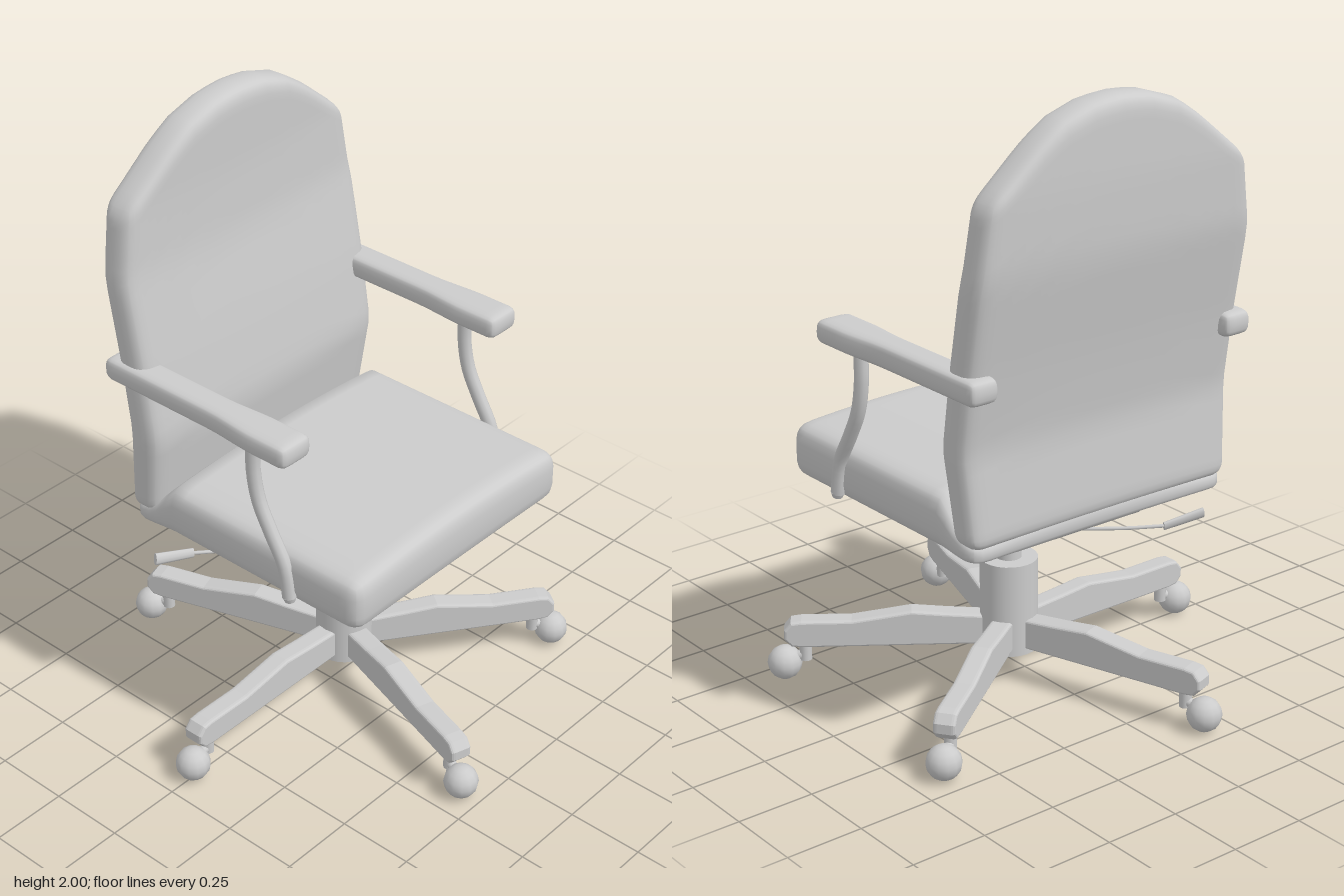
import * as THREE from 'three';
import { mergeVertices } from 'three/addons/utils/BufferGeometryUtils.js';

const grey = new THREE.MeshStandardMaterial({ color: 0xcccccc });
const V = (x, y, z) => new THREE.Vector3(x, y, z);

function add(parent, name, geometry, x = 0, y = 0, z = 0) {
  const mesh = new THREE.Mesh(geometry, grey);
  mesh.name = name;
  mesh.position.set(x, y, z);
  parent.add(mesh);
  return mesh;
}

// Linear lookup in a list of [key, value] pairs with rising keys
function look(table, k) {
  if (k <= table[0][0]) return table[0][1];
  for (let i = 1; i < table.length; i++) {
    const [k0, v0] = table[i - 1], [k1, v1] = table[i];
    if (k <= k1) return v0 + (v1 - v0) * (k - k0) / (k1 - k0);
  }
  return table[table.length - 1][1];
}

// Smooth rounded block, denser at its edges, reshaped by a rule
function cushion(size, r, segs, rule) {
  const geo = new THREE.BoxGeometry(2, 2, 2, ...segs);
  geo.deleteAttribute('uv');
  geo.deleteAttribute('normal');
  const pos = geo.attributes.position;
  const half = V(...size).multiplyScalar(0.5);
  const core = half.clone().subScalar(r);
  for (let i = 0; i < pos.count; i++) {
    const p = V().fromBufferAttribute(pos, i);
    for (const a of ['x', 'y', 'z']) p[a] = Math.sin(p[a] * Math.PI / 2) * half[a];
    const inner = p.clone().clamp(core.clone().negate(), core);
    p.sub(inner).setLength(r).add(inner);
    rule(p);
    pos.setXYZ(i, p.x, p.y, p.z);
  }
  const out = mergeVertices(geo, 1e-5);
  out.computeVertexNormals();
  return out;
}

// Round bar between two points
function bar(parent, name, a, b, ra, rb = ra, sides = 12) {
  const d = b.clone().sub(a);
  const mesh = add(parent, name, new THREE.CylinderGeometry(rb, ra, d.length(), sides));
  mesh.position.copy(a).add(b).multiplyScalar(0.5);
  mesh.quaternion.setFromUnitVectors(V(0, 1, 0), d.normalize());
  return mesh;
}

function tube(points, r, steps = 20) {
  return new THREE.TubeGeometry(new THREE.CatmullRomCurve3(points), steps, r, 10);
}

function buildSeat(chair) {
  const top = [[-0.46, 0.72], [-0.37, 0.755], [-0.29, 0.84], [0.475, 0.84]];
  const geo = cushion([0.985, 0.18, 0.94], 0.055, [24, 8, 28], p => {
    const z = p.z + 0.006;
    const t = p.y / 0.18 + 0.5;
    const crown = 0.025 * (1 - (p.x / 0.4925) ** 2);
    p.set(p.x, 0.665 + t * (look(top, z) + crown - 0.665), z);
  });
  add(chair, 'seat', geo);
}

function buildBack(chair) {
  const top = [[0, 2.0], [0.1, 1.994], [0.235, 1.955], [0.33, 1.895], [0.475, 1.785], [0.52, 1.75]];
  const width = [[0.7, 0.495], [1.0, 0.515], [1.51, 0.515], [1.785, 0.475]];
  const centre = [[0.72, -0.41], [1.01, -0.38], [1.25, -0.415], [1.55, -0.47], [1.76, -0.478], [2, -0.475]];
  const depth = [[0.72, 0.13], [1.01, 0.145], [1.55, 0.14], [2, 0.13]];
  const geo = cushion([1.03, 1.28, 0.14], 0.05, [28, 32, 8], p => {
    const t = p.y / 1.28 + 0.5;
    const y = 0.71 + t * (look(top, Math.abs(p.x)) - 0.71);
    const bulge = 0.02 * (p.x / 0.515) ** 2;
    const z = p.z / 0.14 * (look(depth, y) - bulge) - bulge * 0.4;
    p.set(p.x * look(width, y) / 0.515, y, z + look(centre, y));
  });
  add(chair, 'backrest', geo);
}

function buildArms(chair) {
  const flare = [[-0.52, 0.78], [-0.06, 0.78], [0.08, 1], [0.24, 1]];
  const rest = cushion([0.132, 0.078, 0.76], 0.03, [8, 6, 24], p => {
    p.x *= look(flare, p.z - 0.14);
  });
  for (const s of [-1, 1]) {
    add(chair, 'armrest', rest, s * 0.483, 1.217, -0.14);
    const path = [[0.69, 0.21], [0.8, 0.19], [0.9, 0.135], [0.99, 0.09], [1.09, 0.07], [1.2, 0.07]]
      .map(([y, z]) => V(0, y, z));
    const post = add(chair, 'armPost', tube(path, 0.024), s * 0.495);
    post.scale.x = 0.9;
    bar(chair, 'armPostFoot', V(s * 0.495, 0.675, 0.212), V(s * 0.495, 0.692, 0.21), 0.016, 0.022);
  }
}

function buildMechanism(chair) {
  // tilt body on top of the gas lift
  bar(chair, 'tiltBody', V(-0.005, 0.515, 0), V(-0.005, 0.585, 0), 0.035, 0.045);
  for (const z of [0.26, -0.29]) {
    bar(chair, 'crossBar', V(-0.28, 0.62, z), V(0.255, 0.62, z), 0.035);
    const arm = bar(chair, 'tiltArm', V(-0.005, 0.545, 0), V(-0.005, 0.612, z), 0.028, 0.018);
    arm.scale.x = 1.4;
  }
  for (const x of [-0.25, 0.23]) {
    add(chair, 'seatRail', new THREE.BoxGeometry(0.02, 0.022, 0.68), x, 0.658, -0.03);
  }
  // height lever with a flat paddle
  add(chair, 'lever', tube([V(-0.02, 0.56, -0.04), V(-0.07, 0.545, -0.07), V(-0.1, 0.52, -0.1),
    V(-0.25, 0.515, -0.23), V(-0.38, 0.523, -0.33)], 0.006));
  const paddle = bar(chair, 'leverPaddle', V(-0.37, 0.522, -0.325), V(-0.5, 0.548, -0.365), 0.016, 0.02, 10);
  paddle.scale.z = 0.5;
}

function buildBase(chair) {
  const base = new THREE.Group();
  base.name = 'base';
  base.position.x = -0.006;
  chair.add(base);

  // column: hub, collar and gas lift
  for (const [name, r, y0, y1] of [['hub', 0.093, 0.1, 0.41], ['collar', 0.041, 0.41, 0.44], ['gasLift', 0.022, 0.44, 0.53]]) {
    bar(base, name, V(0, y0, 0), V(0, y1, 0), r, r, 24);
  }

  // leg side outline, running outwards along x
  const outline = new THREE.Shape([[0.04, 0.126], [0.66, 0.126], [0.69, 0.13], [0.708, 0.15], [0.708, 0.175],
    [0.69, 0.197], [0.66, 0.201], [0.5, 0.2], [0.4, 0.215], [0.31, 0.229], [0.2, 0.219], [0.04, 0.208]]
    .map(([x, y]) => new THREE.Vector2(x, y)));
  const legGeo = new THREE.ExtrudeGeometry(outline, {
    depth: 0.044, bevelEnabled: true, bevelThickness: 0.013, bevelSize: 0.008, bevelSegments: 3,
  });
  legGeo.translate(0, 0, -0.022);

  for (let i = 0; i < 5; i++) {
    const spoke = new THREE.Group();
    spoke.name = 'spoke';
    spoke.rotation.y = Math.PI + i * Math.PI * 2 / 5;
    base.add(spoke);
    add(spoke, 'leg', legGeo);
    bar(spoke, 'casterStem', V(0.65, 0.065, 0), V(0.65, 0.125, 0), 0.02);
    bar(spoke, 'casterAxle', V(0.65, 0.085, 0), V(0.715, 0.065, 0), 0.016);
    add(spoke, 'casterBall', new THREE.SphereGeometry(0.056, 12, 8), 0.717, 0.056, 0);
  }
}

export function createModel() {
  const model = new THREE.Group();
  model.name = 'officeChair';
  const chair = new THREE.Group();
  chair.name = 'chair';
  chair.position.x = 0.071;
  model.add(chair);
  buildSeat(chair);
  buildBack(chair);
  buildArms(chair);
  buildMechanism(chair);
  buildBase(chair);
  return model;
}
